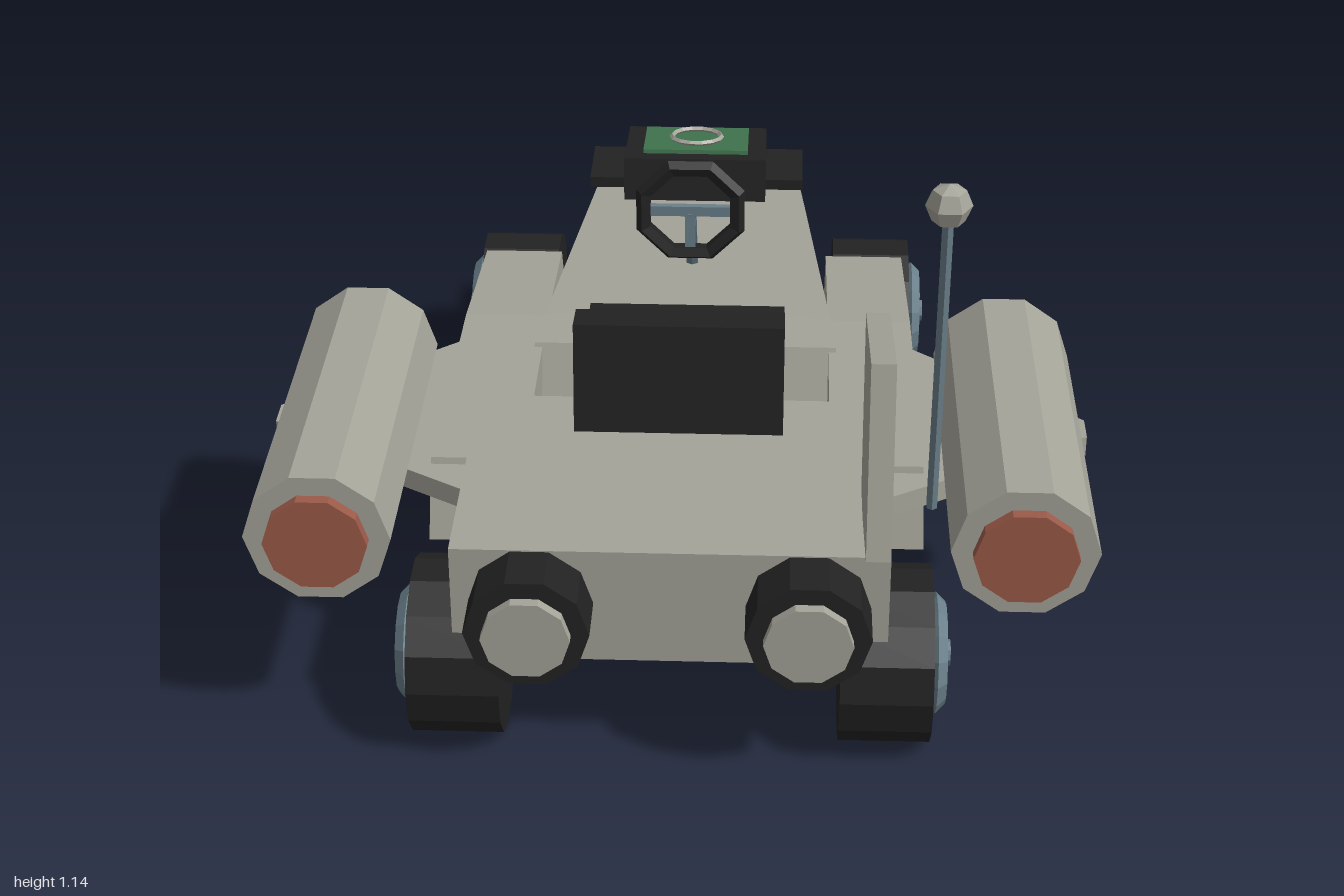
import * as THREE from 'three';
import { ConvexGeometry } from 'three/addons/geometries/ConvexGeometry.js';

const mat = (name, color) => Object.assign(new THREE.MeshStandardMaterial({ color, flatShading: true }), { name });

export function createModel() {
  const hull = mat('hullGrey', 0xa5a499);
  const black = mat('black', 0x222222);
  const steel = mat('steelBlue', 0x6b808b);
  const red = mat('thrusterRed', 0x9b5a49);
  const green = mat('screenGreen', 0x41744f);

  const model = new THREE.Group();
  model.name = 'kart';

  const add = (name, geo, material, x = 0, y = 0, z = 0, parent = model) => {
    const mesh = new THREE.Mesh(geo, material);
    mesh.name = name;
    mesh.position.set(x, y, z);
    parent.add(mesh);
    return mesh;
  };
  const group = (name, x = 0, y = 0, z = 0, parent = model) => {
    const g = new THREE.Group();
    g.name = name;
    g.position.set(x, y, z);
    parent.add(g);
    return g;
  };
  const box = (w, h, d) => new THREE.BoxGeometry(w, h, d);
  // Faceted solid around a few corners
  const solid = (pts) => new ConvexGeometry(pts.map((p) => new THREE.Vector3(...p)));
  // Cylinder along z with flats at the top and bottom
  const drum = (r, length, sides) =>
    new THREE.CylinderGeometry(r, r, length, sides).rotateY(Math.PI / sides).rotateX(Math.PI / 2);
  // Straight rod between two points
  const rod = (name, a, b, r, material) => {
    const from = new THREE.Vector3(...a), to = new THREE.Vector3(...b);
    const dir = to.clone().sub(from);
    const mid = from.clone().add(to).multiplyScalar(0.5);
    const mesh = add(name, new THREE.CylinderGeometry(r, r, dir.length(), 6), material, mid.x, mid.y, mid.z);
    mesh.quaternion.setFromUnitVectors(new THREE.Vector3(0, 1, 0), dir.normalize());
  };

  // Wedge nose and rear deck; half-width, y, z of each mirrored corner pair
  const noseCorners = [
    [0.25, 0.195, -1], [0.215, 0.38, -0.92], [0.295, 0.447, 0],
    [0.305, 0.452, 0.13], [0.345, 0.195, 0.22],
  ];
  add('nose', solid(noseCorners.flatMap(([x, y, z]) => [[x, y, z], [-x, y, z]])), hull);
  add('rearDeck', box(0.79, 0.235, 0.535), hull, 0, 0.3375, 0.6125);

  // Wheel with a five-spoke rim on the outer side
  const wheel = (name, s, z) => {
    const g = group(name, s * 0.395, 0.165, z);
    add('tyre', new THREE.CylinderGeometry(0.165, 0.165, 0.17, 14).rotateZ(Math.PI / 2), black, 0, 0, 0, g);
    const rim = group('rim', s * 0.095, 0, 0, g);
    add('rimRing', new THREE.TorusGeometry(0.095, 0.018, 4, 14).rotateY(Math.PI / 2), steel, 0, 0, 0, rim);
    add('hub', new THREE.CylinderGeometry(0.025, 0.025, 0.045, 8).rotateZ(Math.PI / 2), steel, s * 0.005, 0, 0, rim);
    for (let i = 0; i < 5; i++) {
      const spoke = add('spoke', box(0.025, 0.085, 0.02).translate(0, 0.05, 0), steel, 0, 0, 0, rim);
      spoke.rotation.x = (i * Math.PI * 2) / 5;
    }
  };

  for (const s of [1, -1]) {
    const side = s > 0 ? 'left' : 'right';

    // Side rail with a sloped front end
    const rail = [];
    for (const [y, z, outer] of [
      [0.285, -0.42, 0.465], [0.402, -0.36, 0.455], [0.442, 0, 0.46],
      [0.445, 0.56, 0.465], [0.285, 0.6, 0.47],
    ]) rail.push([s * 0.29, y, z], [s * outer, y, z]);
    add(side + 'Rail', solid(rail), hull);

    // Swept wing holding the thruster pod
    const wing = [];
    for (const [x, z] of [[0.38, 0.03], [0.785, 0.36], [0.785, 0.42], [0.38, 0.66]])
      wing.push([s * x, 0.39, z], [s * x, 0.432, z]);
    add(side + 'Wing', solid(wing), hull);

    // Thruster pod
    add(side + 'Pod', drum(0.134, 0.705, 10), hull, s * 0.635, 0.455, 0.5025);
    add(side + 'PodNozzle', drum(0.095, 0.03, 10), red, s * 0.635, 0.455, 0.862);

    // Rear exhaust
    add(side + 'Exhaust', drum(0.113, 0.12, 10), black, s * 0.25, 0.345, 0.92);
    add(side + 'ExhaustCap', drum(0.08, 0.04, 10), hull, s * 0.25, 0.345, 0.98);

    wheel(side + 'FrontWheel', s, -0.55);
    wheel(side + 'RearWheel', s, 0.76);
  }

  // Seat, with the backrest tipped slightly forward
  add('seatCushion', box(0.4, 0.04, 0.42), black, 0, 0.459, 0.22);
  const back = group('seatBack', 0, 0.555, 0.422);
  back.rotation.x = -0.12;
  add('backrest', box(0.4, 0.23, 0.08), black, 0, 0, 0, back);
  add('backPad', box(0.31, 0.15, 0.02), steel, 0, 0.005, -0.045, back);

  // Steering wheel and column
  const steering = group('steeringWheel', 0, 0.61, -0.163);
  add('steeringRing', new THREE.TorusGeometry(0.105, 0.018, 5, 8).rotateZ(Math.PI / 8), black, 0, 0, 0, steering);
  add('steeringBar', box(0.2, 0.022, 0.015), steel, 0, 0, 0, steering);
  add('steeringSpoke', box(0.022, 0.1, 0.015), steel, 0, -0.05, 0, steering);
  rod('steeringColumn', [0, 0.61, -0.165], [0, 0.41, -0.29], 0.014, steel);

  // Instrument console with a screen and a ring marker
  const consoleUnit = group('console', 0, 0.533, -0.545);
  consoleUnit.rotation.x = -0.14;
  add('consoleBox', box(0.31, 0.095, 0.24), black, 0, 0, 0, consoleUnit);
  add('screen', box(0.23, 0.009, 0.17), green, 0, 0.052, -0.005, consoleUnit);
  add('screenRing', new THREE.TorusGeometry(0.055, 0.006, 4, 14).rotateX(Math.PI / 2), hull, 0, 0.062, -0.005, consoleUnit);
  add('consolePlate', box(0.475, 0.024, 0.16), black, 0, 0.49, -0.61);

  // Tilted tail fin on the left
  const fin = add('tailFin', box(0.044, 0.36, 0.313), hull, 0.368, 0.645, 0.7725);
  fin.rotation.x = -0.225;

  // Antenna
  rod('antennaPole', [0.472, 0.465, 0.725], [0.472, 1.1, 0.775], 0.011, steel);
  add('antennaTip', new THREE.SphereGeometry(0.041, 6, 4), hull, 0.472, 1.105, 0.775);

  return model;
}
